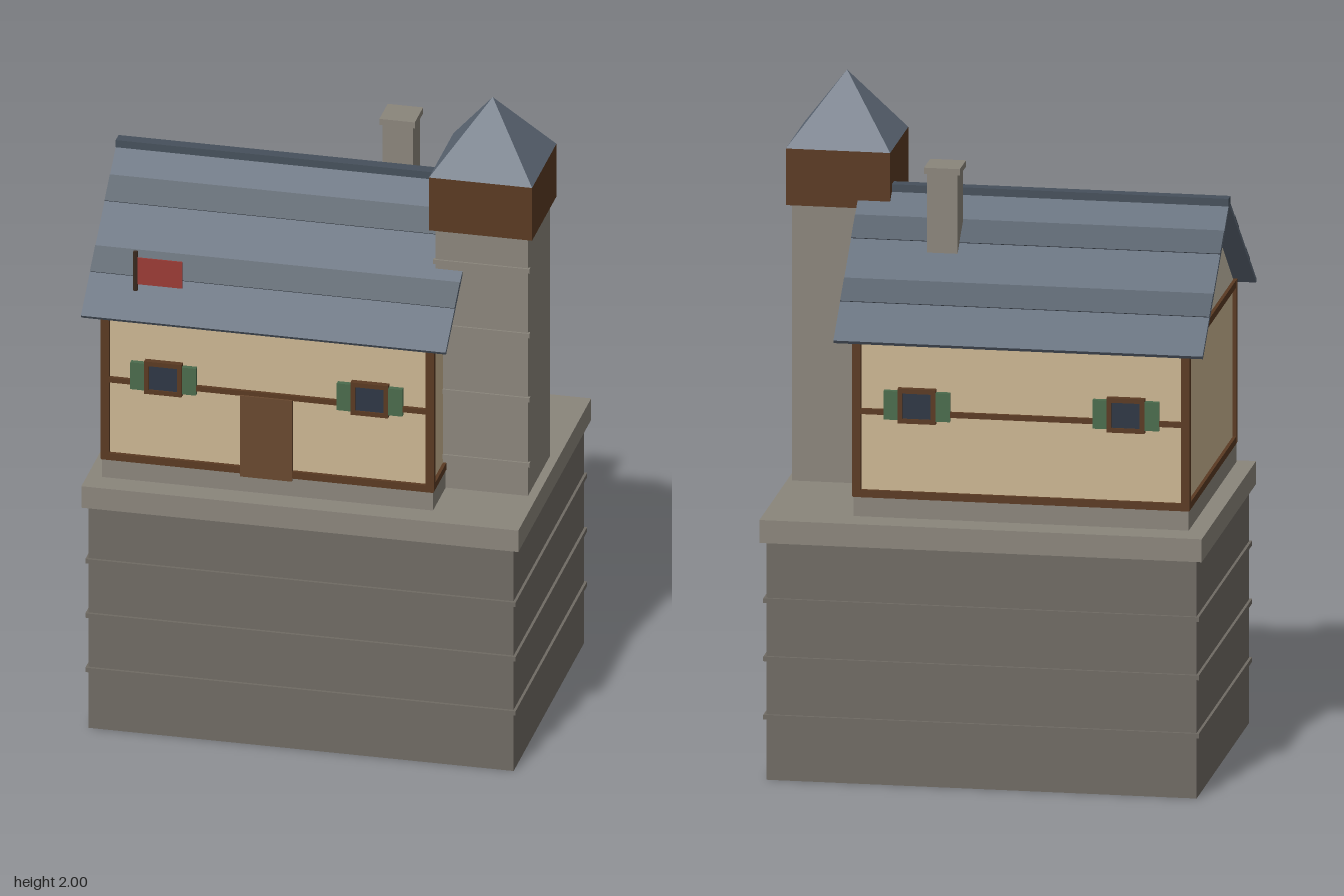
import * as THREE from 'three';

const mat = (color) => new THREE.MeshStandardMaterial({ color, flatShading: true });
const M = {
  rock: mat(0x6f6a63), stone: mat(0x8a857b), plaster: mat(0xcbb592), gable: mat(0xc8bfab),
  timber: mat(0x5a3a22), door: mat(0x68482f), slate: mat(0x5f6a78), slateDark: mat(0x4e5863),
  ridge: mat(0x46505b), pane: mat(0x2e3644), shutter: mat(0x4a6b4c), cloth: mat(0x9a3b35), pole: mat(0x3a2a20),
};

export function createModel() {
  const root = new THREE.Group();
  root.name = 'towerHouse';

  // box given by its extents on each axis
  const box = (name, m, x0, x1, y0, y1, z0, z1, parent = root) => {
    const mesh = new THREE.Mesh(new THREE.BoxGeometry(x1 - x0, y1 - y0, z1 - z0), m);
    mesh.position.set((x0 + x1) / 2, (y0 + y1) / 2, (z0 + z1) / 2);
    mesh.name = name;
    parent.add(mesh);
    return mesh;
  };

  // stone base with courses and a cap slab
  box('base', M.rock, -0.635, 0.635, 0, 0.715, -0.443, 0.443);
  for (const y of [0.19, 0.365, 0.54]) box('baseCourse', M.rock, -0.643, 0.643, y - 0.007, y + 0.007, -0.452, 0.452);
  box('baseCap', M.stone, -0.653, 0.653, 0.715, 0.784, -0.46, 0.46);

  // house body
  const L = -0.605, R = 0.385, D = 0.405;
  box('plinth', M.stone, L, R, 0.794, 0.86, -D, D);
  box('walls', M.plaster, L + 0.008, R - 0.008, 0.86, 1.34, -D + 0.008, D - 0.008);

  // gable prism under the roof
  const tri = new THREE.Shape([new THREE.Vector2(-0.4, 1.34), new THREE.Vector2(0.4, 1.34), new THREE.Vector2(0, 1.655)]);
  const gable = new THREE.Mesh(new THREE.ExtrudeGeometry(tri, { depth: R - L - 0.016, bevelEnabled: false }), M.gable);
  gable.rotation.y = Math.PI / 2;
  gable.position.x = L + 0.008;
  gable.name = 'gables';
  root.add(gable);

  // timber frame: posts and rails
  const t = 0.022;
  for (const s of [-1, 1]) {
    const zo = s * (D + 0.003), zi = s * (D - 0.019);
    const z0 = Math.min(zo, zi), z1 = Math.max(zo, zi);
    box('cornerPost', M.timber, L - 0.003, L + t, 0.855, 1.344, z0, z1);
    box('cornerPost', M.timber, R - t, R + 0.003, 0.855, 1.344, z0, z1);
    for (const y of [0.863, 1.11, 1.333]) {
      const h = y === 1.11 ? 0.008 : 0.011;
      box('longRail', M.timber, L, R, y - h, y + h, z0, z1);
    }
  }
  for (const [x0, x1] of [[L - 0.002, L + 0.02], [R - 0.02, R + 0.002]])
    for (const y of [0.863, 1.333]) box('endRail', M.timber, x0, x1, y - 0.011, y + 0.011, -D, D);

  // door
  box('door', M.door, -0.19, -0.035, 0.845, 1.105, 0.395, 0.414);

  // shuttered windows, front and back
  const addWindow = (x, back) => {
    const g = new THREE.Group();
    g.name = 'window';
    box('windowPane', M.pane, -0.044, 0.044, -0.04, 0.04, -0.01, 0.01, g);
    for (const s of [-1, 1]) {
      box('frameRail', M.timber, -0.056, 0.056, s * 0.045 - 0.007, s * 0.045 + 0.007, -0.01, 0.014, g);
      box('frameStile', M.timber, s * 0.049 - 0.007, s * 0.049 + 0.007, -0.045, 0.045, -0.01, 0.014, g);
      box('shutter', M.shutter, s * 0.077 - 0.021, s * 0.077 + 0.021, -0.043, 0.043, -0.01, 0.011, g);
    }
    g.position.set(x, 1.133, back ? -0.402 : 0.402);
    if (back) g.rotation.y = Math.PI;
    root.add(g);
  };
  for (const x of [-0.42, 0.197]) { addWindow(x, false); addWindow(x, true); }

  // roof: two thin slopes, each with two darker slate courses
  const slope = 0.77, top = 1.685, angle = Math.atan(slope);
  for (const s of [-1, 1]) {
    const strip = (name, m, z0, z1, thick, lift) => {
      const zc = (z0 + z1) / 2;
      const mesh = new THREE.Mesh(new THREE.BoxGeometry(1.09, thick, (z1 - z0) / Math.cos(angle)), m);
      const drop = lift - thick / 2;
      mesh.position.set(-0.11, top - slope * zc + drop * Math.cos(angle), s * (zc + drop * Math.sin(angle)));
      mesh.rotation.x = s * angle;
      mesh.name = name;
      root.add(mesh);
    };
    strip('roofSlope', M.slate, 0, 0.458, 0.012, 0);
    strip('roofCourse', M.slateDark, 0.09, 0.158, 0.006, 0.003);
    strip('roofCourse', M.slateDark, 0.275, 0.343, 0.006, 0.003);
  }
  box('ridgeCap', M.ridge, -0.655, 0.435, 1.665, 1.694, -0.018, 0.018);

  // chimney
  box('chimney', M.stone, 0.115, 0.205, 1.5, 1.778, -0.19, -0.1);
  box('chimneyCap', M.stone, 0.107, 0.213, 1.776, 1.795, -0.197, -0.092);

  // square tower with bands on its front, a timber head and a pyramid roof
  const tx = 0.493, tz = 0.107;
  box('tower', M.stone, tx - 0.138, tx + 0.138, 0.794, 1.64, tz - 0.138, tz + 0.138);
  for (const y of [0.895, 1.105, 1.312, 1.52])
    box('towerBand', M.stone, tx - 0.144, tx + 0.144, y - 0.007, y + 0.007, tz + 0.132, tz + 0.144);
  box('towerHead', M.timber, tx - 0.154, tx + 0.154, 1.625, 1.795, tz - 0.154, tz + 0.154);
  const spire = new THREE.Mesh(new THREE.ConeGeometry(0.154 * Math.SQRT2, 0.205, 4, 1, false, Math.PI / 4), M.slate);
  spire.position.set(tx, 1.8975, tz);
  spire.name = 'towerRoof';
  root.add(spire);

  // flag above the front eave
  const pole = new THREE.Mesh(new THREE.CylinderGeometry(0.007, 0.007, 0.125, 6), M.pole);
  pole.position.set(-0.51, 1.457, 0.38);
  pole.name = 'flagPole';
  root.add(pole);
  box('flag', M.cloth, -0.508, -0.37, 1.415, 1.5, 0.378, 0.382);

  return root;
}
